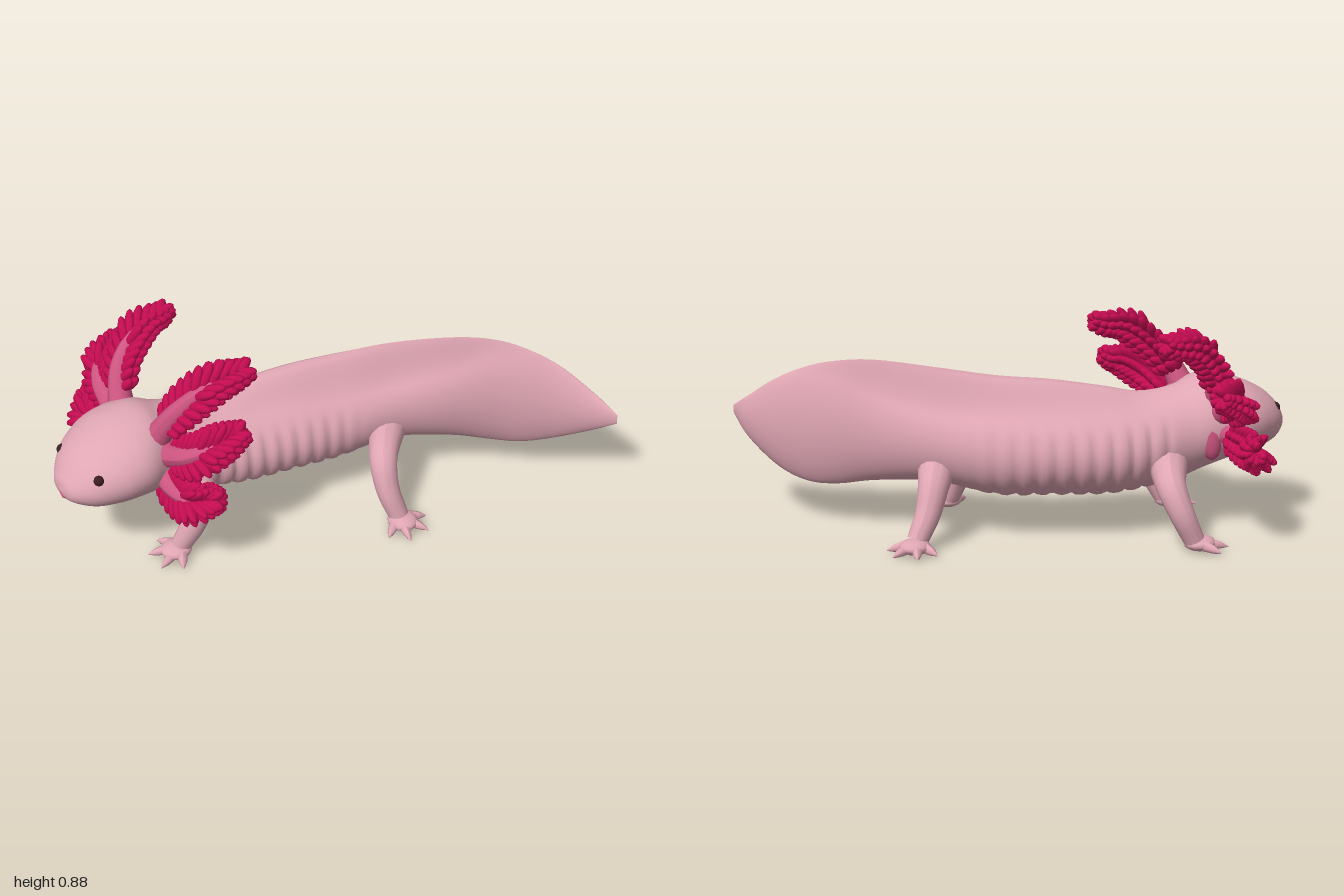
import * as THREE from 'three';
import { mergeGeometries } from 'three/addons/utils/BufferGeometryUtils.js';

const V = (a) => new THREE.Vector3(...a);
const paint = (name, color) => {
  const m = new THREE.MeshStandardMaterial({ color });
  m.name = name;
  return m;
};

// Smooth tube through points whose radius follows a list of values
function taperedTube(points, radii, segs = 16, sides = 12) {
  const curve = new THREE.CatmullRomCurve3(points.map(V));
  const geo = new THREE.TubeGeometry(curve, segs, 1, sides, false);
  const pos = geo.attributes.position;
  const v = new THREE.Vector3();
  for (let i = 0; i <= segs; i++) {
    const c = curve.getPointAt(i / segs);
    const f = (i / segs) * (radii.length - 1);
    const k = Math.min(Math.floor(f), radii.length - 2);
    const r = THREE.MathUtils.lerp(radii[k], radii[k + 1], f - k);
    for (let j = 0; j <= sides; j++) {
      const n = i * (sides + 1) + j;
      v.fromBufferAttribute(pos, n).sub(c).multiplyScalar(r).add(c);
      pos.setXYZ(n, v.x, v.y, v.z);
    }
  }
  geo.computeVertexNormals();
  return geo;
}

// Body stations from snout to tail tip: z, x, half width, bottom, top, fin top, pinch
const STATIONS = [
  [0.995, -0.31, 0.004, 0.395, 0.405, 0.405, 1],
  [0.975, -0.31, 0.078, 0.355, 0.455, 0.455, 1],
  [0.9, -0.312, 0.16, 0.31, 0.535, 0.535, 1],
  [0.8, -0.317, 0.213, 0.29, 0.59, 0.59, 1],
  [0.7, -0.32, 0.228, 0.275, 0.622, 0.622, 1],
  [0.6, -0.315, 0.208, 0.245, 0.628, 0.628, 1],
  [0.5, -0.295, 0.19, 0.205, 0.585, 0.59, 1],
  [0.35, -0.26, 0.205, 0.175, 0.545, 0.575, 1],
  [0.2, -0.215, 0.222, 0.16, 0.535, 0.605, 1],
  [0, -0.14, 0.213, 0.165, 0.535, 0.64, 1],
  [-0.2, -0.05, 0.18, 0.17, 0.535, 0.66, 1],
  [-0.4, 0.07, 0.125, 0.22, 0.55, 0.69, 1.05],
  [-0.6, 0.23, 0.085, 0.21, 0.61, 0.712, 1.25],
  [-0.73, 0.34, 0.07, 0.185, 0.66, 0.7, 1.4],
  [-0.82, 0.44, 0.06, 0.185, 0.655, 0.665, 1.4],
  [-0.9, 0.55, 0.05, 0.23, 0.605, 0.605, 1.4],
  [-0.965, 0.69, 0.032, 0.32, 0.515, 0.515, 1.3],
  [-0.995, 0.805, 0.004, 0.41, 0.45, 0.45, 1],
];

// Head, trunk and tail as one skin with rib folds and a dorsal ridge
function bodyGeometry() {
  const column = (a, b, c) =>
    new THREE.CatmullRomCurve3(STATIONS.map((s) => V([s[a], s[b], s[c]])), false, 'catmullrom', 0.5);
  const spine = column(1, 0, 0), size = column(2, 3, 4), shape = column(5, 6, 6);
  const rings = 220, n = 64, pos = [], index = [];
  for (let i = 0; i <= rings; i++) {
    const t = i / rings;
    const c = spine.getPoint(t), s = size.getPoint(t), f = shape.getPoint(t);
    const d = spine.getTangent(t);
    const len = Math.hypot(d.x, d.y);
    const lx = -d.y / len, lz = d.x / len;
    const cy = (s.y + s.z) / 2, h = (s.z - s.y) / 2;
    const z = c.y;
    const fade = THREE.MathUtils.smoothstep(z, -0.32, -0.15) * (1 - THREE.MathUtils.smoothstep(z, 0.38, 0.48));
    const groove = fade * Math.pow(Math.abs(Math.cos((z * Math.PI) / 0.068)), 5);
    for (let j = 0; j < n; j++) {
      const a = (j / n) * Math.PI * 2, co = Math.cos(a), si = Math.sin(a);
      const fold = 1 - 0.06 * groove * (1 - THREE.MathUtils.smoothstep(si, 0.3, 0.8));
      const x = Math.sign(co) * Math.pow(Math.abs(co), f.y) * Math.max(s.x, 0.003) * fold;
      const y = cy + h * si * fold + Math.max(0, f.x - s.z) * Math.pow(Math.max(0, si), 18);
      pos.push(c.x + lx * x, y, c.y + lz * x);
      if (i < rings) {
        const p = i * n + j, q = i * n + ((j + 1) % n);
        index.push(p, p + n, q, q, p + n, q + n);
      }
    }
  }
  const geo = new THREE.BufferGeometry();
  geo.setAttribute('position', new THREE.Float32BufferAttribute(pos, 3));
  geo.setIndex(index);
  geo.computeVertexNormals();
  return geo;
}

// Leg with a flat palm and four spread toes; heading is the toe direction about y
function legGeometry(points, heading) {
  const [ax, , az] = points[3];
  const palm = new THREE.SphereGeometry(1, 14, 10).scale(0.062, 0.03, 0.066);
  palm.rotateY(heading).translate(ax + Math.sin(heading) * 0.025, 0.031, az + Math.cos(heading) * 0.025);
  const parts = [taperedTube(points, [0.08, 0.072, 0.062, 0.054, 0.048, 0.042], 22, 14), palm];
  for (const [spread, reach] of [[-1.1, 0.12], [-0.38, 0.138], [0.38, 0.138], [1.1, 0.12]]) {
    const a = heading + spread, sx = Math.sin(a), sz = Math.cos(a);
    parts.push(taperedTube(
      [[ax, 0.035, az], [ax + sx * reach * 0.6, 0.024, az + sz * reach * 0.6], [ax + sx * reach, 0.013, az + sz * reach]],
      [0.03, 0.025, 0.021, 0.016, 0.002], 10, 8));
  }
  return mergeGeometries(parts);
}

// Feathery filaments behind a gill stalk, wrapping all round it near the tip
function plumeGeometry(points) {
  const curve = new THREE.CatmullRomCurve3(points.map(V));
  const parts = [], rows = 10, up = new THREE.Vector3(0, 1, 0);
  const rear = [-1.6, -0.95, -0.32, 0.32, 0.95, 1.6];
  for (let i = 0; i <= rows; i++) {
    const u = i / rows;
    const t = 0.2 + 0.77 * u;
    const p = curve.getPointAt(t), tan = curve.getTangentAt(t);
    const side = new THREE.Vector3().crossVectors(tan, V([0, -0.45, -1])).normalize();
    const back = new THREE.Vector3().crossVectors(side, tan).normalize();
    const len = 0.08 + 0.05 * Math.sin(Math.PI * Math.min(1, u * 0.85 + 0.12));
    for (const a of u > 0.45 ? [...rear, -2.5, 2.5] : rear) {
      const lean = 0.95 - 0.35 * u;
      const depth = Math.cos(a) * (a * a > 4 ? 0.4 : 0.95);
      const dir = side.clone().multiplyScalar(Math.sin(a)).addScaledVector(back, depth)
        .multiplyScalar(lean).addScaledVector(tan, 0.55 + 0.3 * u).normalize();
      const leaf = new THREE.SphereGeometry(1, 7, 6).scale(0.022, len / 2, 0.022).translate(0, len / 2, 0);
      leaf.applyQuaternion(new THREE.Quaternion().setFromUnitVectors(up, dir));
      parts.push(leaf.translate(p.x, p.y, p.z));
    }
  }
  return mergeGeometries(parts);
}

export function createModel() {
  const model = new THREE.Group();
  const skin = paint('pink skin', 0xdfa6b3);
  const stalkPink = paint('gill stalk pink', 0xcc5580);
  const crimson = paint('gill crimson', 0xc60c52);
  const dark = paint('eye dark', 0x3a1c22);
  const add = (name, geo, mat) => {
    const mesh = new THREE.Mesh(geo, mat);
    mesh.name = name;
    model.add(mesh);
    return mesh;
  };

  add('body', bodyGeometry(), skin);

  // Legs: shoulder or hip, knee, shin, ankle
  const legs = {
    leftFrontLeg: [[[-0.17, 0.31, 0.46], [-0.07, 0.26, 0.5], [-0.06, 0.16, 0.54], [-0.09, 0.045, 0.59]], -0.1],
    rightFrontLeg: [[[-0.4, 0.3, 0.4], [-0.56, 0.25, 0.31], [-0.62, 0.16, 0.32], [-0.64, 0.045, 0.37]], 0],
    leftHindLeg: [[[0.09, 0.31, -0.38], [0.235, 0.275, -0.22], [0.295, 0.165, -0.195], [0.345, 0.045, -0.215]], 1.6],
    rightHindLeg: [[[0.06, 0.3, -0.41], [-0.045, 0.24, -0.48], [-0.09, 0.14, -0.53], [-0.115, 0.045, -0.59]], -2.4],
  };
  for (const [name, [points, heading]] of Object.entries(legs)) add(name, legGeometry(points, heading), skin);

  // Six external gills
  const gills = {
    leftUpper: [[-0.21, 0.52, 0.61], [-0.12, 0.69, 0.55], [-0.06, 0.79, 0.45], [-0.02, 0.825, 0.32]],
    leftMiddle: [[-0.18, 0.47, 0.6], [-0.01, 0.55, 0.58], [0.06, 0.605, 0.52], [0.095, 0.64, 0.44]],
    leftLower: [[-0.19, 0.42, 0.6], [-0.08, 0.385, 0.63], [0.02, 0.38, 0.63], [0.105, 0.4, 0.58]],
    rightUpper: [[-0.43, 0.52, 0.61], [-0.51, 0.69, 0.55], [-0.54, 0.79, 0.45], [-0.55, 0.825, 0.32]],
    rightMiddle: [[-0.46, 0.49, 0.6], [-0.62, 0.57, 0.58], [-0.7, 0.61, 0.52], [-0.74, 0.635, 0.44]],
    rightLower: [[-0.46, 0.43, 0.6], [-0.57, 0.4, 0.63], [-0.66, 0.39, 0.63], [-0.745, 0.405, 0.58]],
  };
  for (const [name, points] of Object.entries(gills)) {
    add(name + 'GillStalk', taperedTube(points, [0.06, 0.048, 0.04, 0.03, 0.016, 0.004], 20, 12), stalkPink);
    add(name + 'GillPlume', plumeGeometry(points), crimson);
  }

  // Gill root patches on the neck, and eyes
  for (const side of [-1, 1]) {
    const label = side > 0 ? 'left' : 'right';
    const patch = add(label + 'GillRootPatch', new THREE.SphereGeometry(1, 18, 14).scale(0.06, 0.135, 0.055), stalkPink);
    patch.position.set(-0.305 + side * 0.145, 0.44, 0.555);
    patch.rotation.z = side * 0.3;
    add(label + 'Eye', new THREE.SphereGeometry(0.022, 16, 12), dark)
      .position.set(-0.315 + side * 0.129, 0.48, 0.893);
  }

  // Small mouth
  add('mouth', taperedTube([[-0.35, 0.388, 0.975], [-0.31, 0.378, 0.984], [-0.27, 0.388, 0.975]],
    [0.002, 0.009, 0.011, 0.009, 0.002], 12, 8), stalkPink);

  return model;
}
